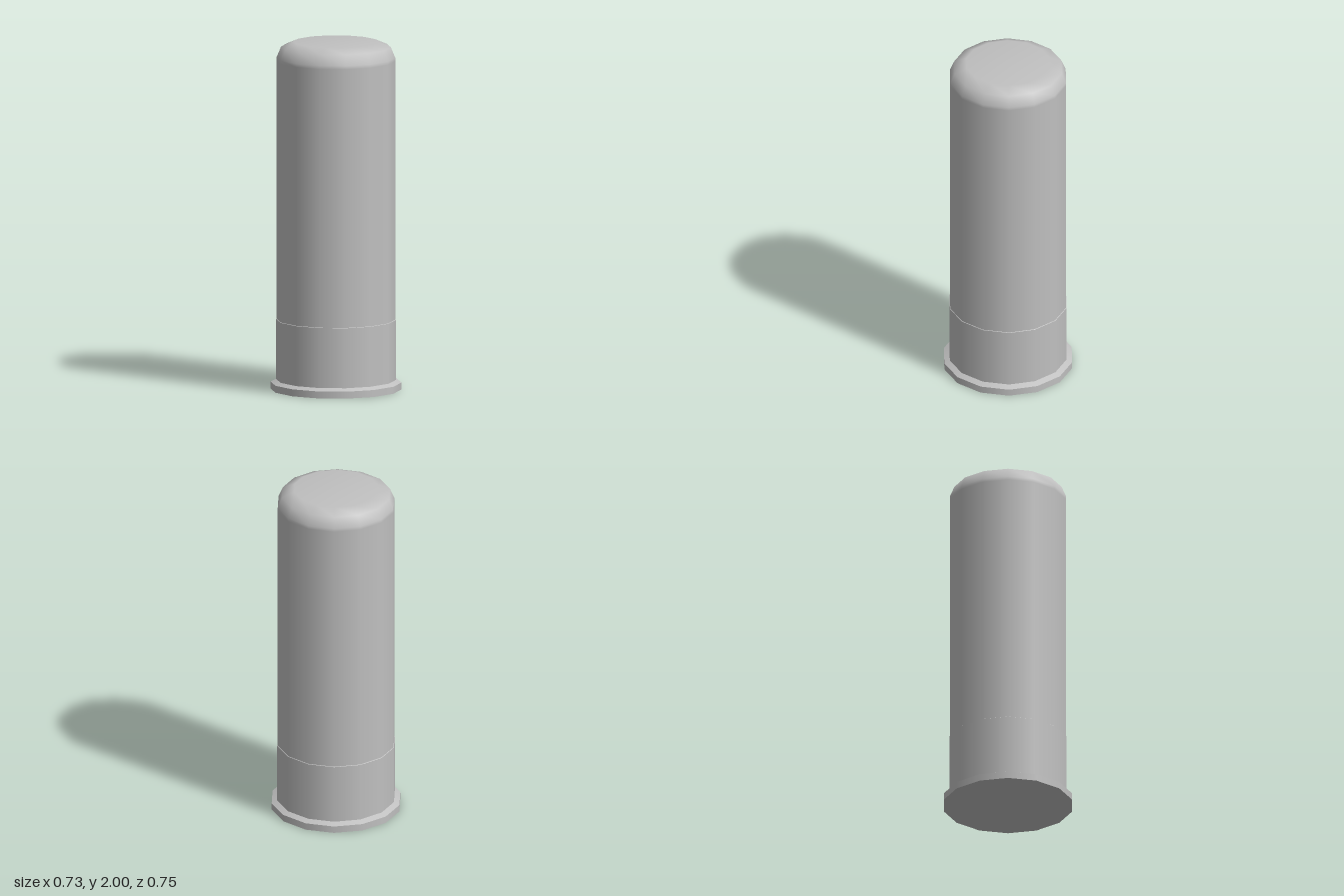
import * as THREE from 'three';

const SIDES = 14;

export function createModel() {
  const group = new THREE.Group();
  group.name = 'cartridge';
  const grey = new THREE.MeshStandardMaterial({ color: 0xc0c0c0 });
  grey.name = 'grey';

  // One smooth turned strip; separate strips meet in hard edges
  const turn = (name, profile) => {
    const points = profile.map(([r, y]) => new THREE.Vector2(r, y));
    const mesh = new THREE.Mesh(new THREE.LatheGeometry(points, SIDES), grey);
    mesh.name = name;
    group.add(mesh);
  };

  // Flanged base
  turn('baseCap', [[0, 0], [0.373, 0]]);
  turn('rimSide', [[0.373, 0], [0.373, 0.04]]);
  turn('rimBevel', [[0.373, 0.04], [0.341, 0.055]]);

  // Slightly wider head sleeve and its small ledge
  turn('headSleeve', [[0.341, 0.055], [0.341, 0.4]]);
  turn('sleeveLedge', [[0.341, 0.4], [0.338, 0.402]]);

  // Long tube with a rounded closed end
  turn('tube', [
    [0.338, 0.402], [0.338, 1.89], [0.338, 1.91],
    [0.313, 1.97], [0.243, 2], [0, 2],
  ]);

  return group;
}
